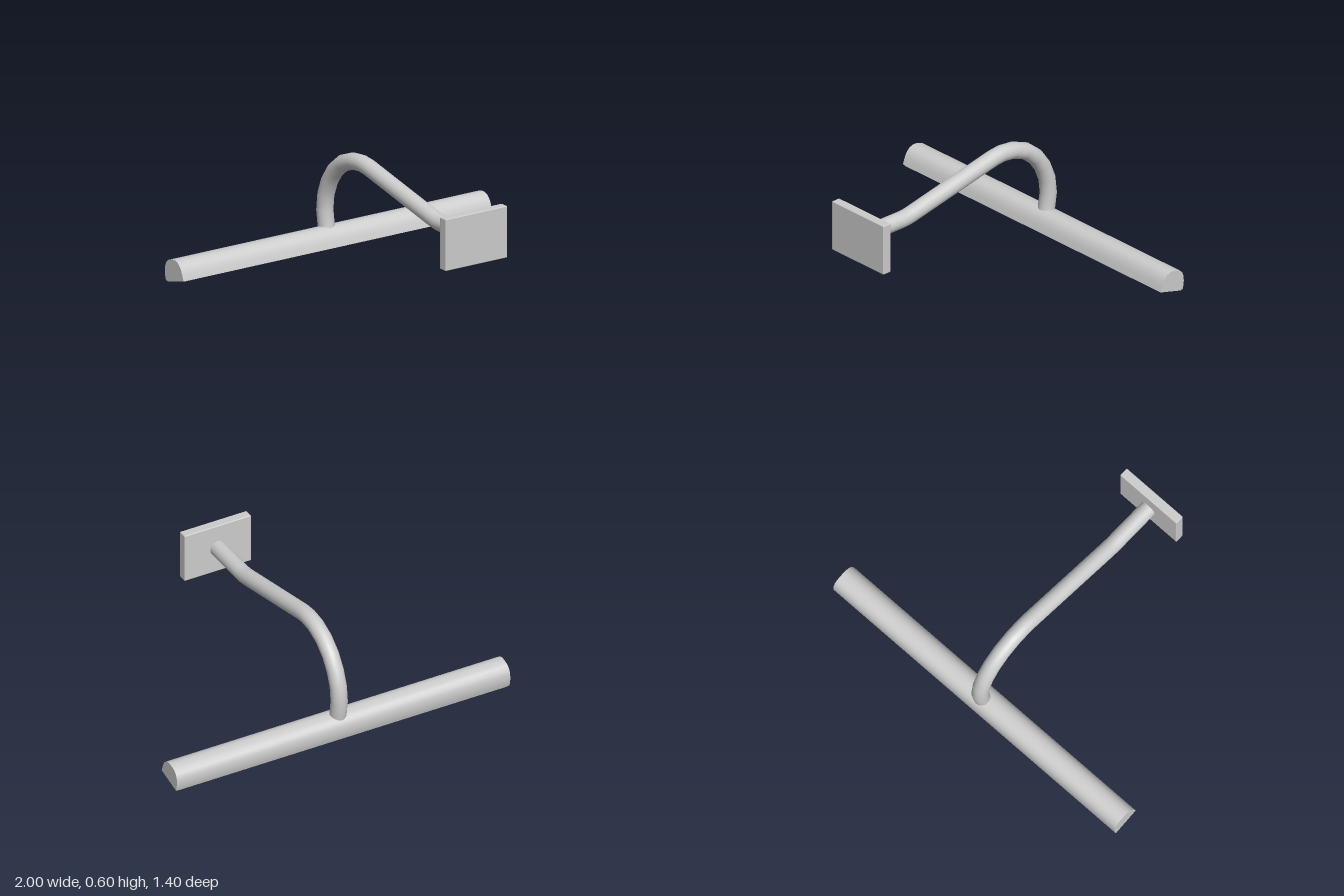
import * as THREE from 'three';
import { toCreasedNormals } from 'three/addons/utils/BufferGeometryUtils.js';
import { RoundedBoxGeometry } from 'three/addons/geometries/RoundedBoxGeometry.js';

const material = new THREE.MeshStandardMaterial({ color: 0xcccccc });

// Curve whose tube rings sit exactly on the given points
class PointCurve extends THREE.Curve {
  constructor(points) {
    super();
    this.points = points;
  }
  getPointAt(t, target = new THREE.Vector3()) {
    return target.copy(this.points[Math.round(t * (this.points.length - 1))]);
  }
  getTangentAt(t, target = new THREE.Vector3()) {
    const p = this.points, n = p.length - 1, i = Math.round(t * n);
    const along = (a, b) => new THREE.Vector3().subVectors(p[b], p[a]).normalize();
    return target.copy(along(Math.max(i - 1, 0), Math.max(i, 1)))
      .add(along(Math.min(i, n - 1), Math.min(i + 1, n))).normalize();
  }
}

// Extrudes a (-z, y) profile along x, centred on x = 0
function extrudeAlongX(profile, length) {
  const shape = new THREE.Shape(profile.map(([u, v]) => new THREE.Vector2(u, v)));
  const geometry = new THREE.ExtrudeGeometry(shape, { depth: length, bevelEnabled: false });
  geometry.rotateY(Math.PI / 2).translate(-length / 2, 0, 0);
  return toCreasedNormals(geometry, 0.7);
}

export function createModel() {
  const group = new THREE.Group();
  const add = (name, geometry) => {
    const mesh = new THREE.Mesh(geometry, material);
    mesh.name = name;
    group.add(mesh);
    return mesh;
  };

  // Wall plate
  add('wallPlate', new RoundedBoxGeometry(0.4, 0.285, 0.052, 2, 0.005))
    .position.set(0, 0.4125, 0.674);

  // Bent arm, from the plate to the shade, as [z, y]
  const path = [
    [0.66, 0.415], [0.39, 0.415], [0.36, 0.417], [0.325, 0.423],
    [-0.26, 0.553], [-0.32, 0.56], [-0.4, 0.552], [-0.488, 0.518], [-0.56, 0.46],
    [-0.61, 0.39], [-0.643, 0.308], [-0.653, 0.22], [-0.64, 0.135], [-0.634, 0.1],
  ].map(([z, y]) => new THREE.Vector3(0, y, z));
  add('arm', new THREE.TubeGeometry(new PointCurve(path), path.length - 1, 0.0455, 24));

  // Long domed lamp shade, tilted forward
  add('lampShade', extrudeAlongX([
    [0.537, 0.047], [0.691, 0.009], [0.697, 0.03], [0.7, 0.055], [0.699, 0.085],
    [0.69, 0.109], [0.673, 0.126], [0.651, 0.134], [0.628, 0.139], [0.605, 0.139],
    [0.583, 0.13], [0.565, 0.113], [0.553, 0.092], [0.545, 0.072],
  ], 2));

  // Slightly inset light panel under the shade
  add('lightPanel', extrudeAlongX([
    [0.542, 0.039], [0.685, 0.002], [0.688, 0.014], [0.545, 0.05],
  ], 1.985));

  return group;
}
